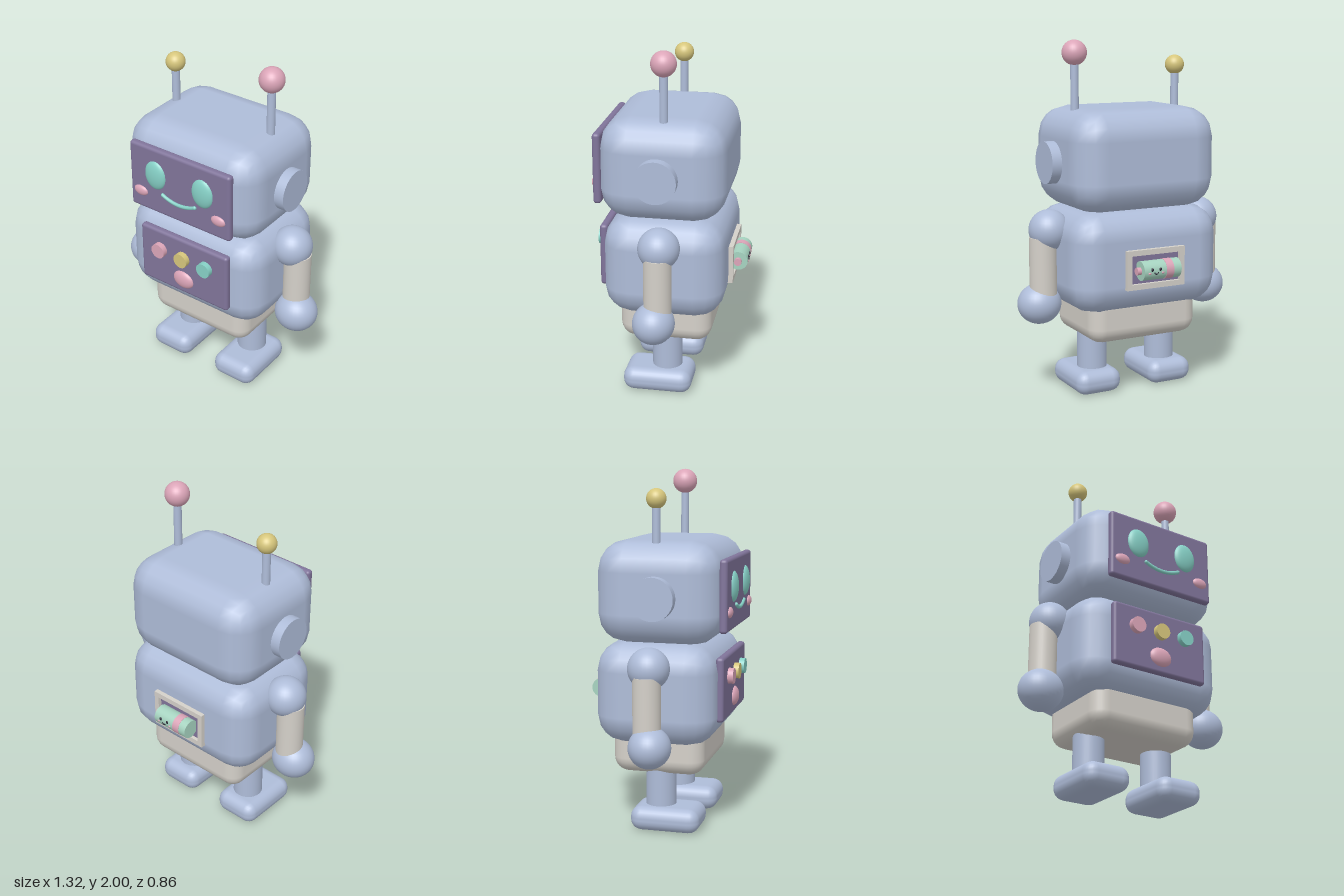
import * as THREE from 'three';
import { RoundedBoxGeometry } from 'three/addons/geometries/RoundedBoxGeometry.js';

const mat = (name, color) => {
  const m = new THREE.MeshStandardMaterial({ color });
  m.name = name;
  return m;
};

export function createModel() {
  const blue = mat('powder blue', 0xaebcd8);
  const cream = mat('cream', 0xd4d0c9);
  const purple = mat('dusky purple', 0x80749a);
  const teal = mat('teal', 0x86d0c6);
  const pink = mat('pink', 0xdba5b8);
  const yellow = mat('yellow', 0xd6c67c);
  const mint = mat('mint', 0xa6d3c0);
  const dark = mat('dark', 0x2f2d3a);

  const robot = new THREE.Group();
  robot.name = 'robot';

  const add = (name, geometry, material, x, y, z) => {
    const mesh = new THREE.Mesh(geometry, material);
    mesh.name = name;
    mesh.position.set(x, y, z);
    robot.add(mesh);
    return mesh;
  };
  const box = (name, m, w, h, d, r, x, y, z, seg = 3) =>
    add(name, new RoundedBoxGeometry(w, h, d, seg, r), m, x, y, z);
  const ball = (name, m, rx, ry, rz, x, y, z) =>
    add(name, new THREE.SphereGeometry(1, 32, 20).scale(rx, ry, rz), m, x, y, z);
  // Cylinder along the chosen axis
  const rod = (name, m, r, length, axis, x, y, z) => {
    const g = new THREE.CylinderGeometry(r, r, length, 32);
    if (axis === 'x') g.rotateZ(-Math.PI / 2);
    if (axis === 'z') g.rotateX(Math.PI / 2);
    return add(name, g, m, x, y, z);
  };

  // Main masses
  box('head', blue, 0.88, 0.57, 0.70, 0.17, 0, 1.345, 0.02, 2);
  box('body', blue, 0.91, 0.57, 0.68, 0.16, 0, 0.79, 0.01, 2);
  box('pelvis', cream, 0.67, 0.28, 0.52, 0.085, 0, 0.465, 0.01);

  // Face
  box('facePanel', purple, 0.67, 0.40, 0.045, 0.018, 0, 1.335, 0.382);
  for (const s of [-1, 1]) {
    ball('eye', teal, 0.07, 0.087, 0.03, s * 0.158, 1.375, 0.4);
    ball('cheek', pink, 0.047, 0.031, 0.02, s * 0.262, 1.245, 0.402);
  }
  const smile = new THREE.QuadraticBezierCurve3(
    new THREE.Vector3(-0.108, 1.27, 0), new THREE.Vector3(0, 1.218, 0), new THREE.Vector3(0.108, 1.27, 0));
  add('mouth', new THREE.TubeGeometry(smile, 24, 0.011, 8), teal, 0, 0, 0.407);
  for (const s of [-1, 1]) ball('mouthEnd', teal, 0.011, 0.011, 0.011, s * 0.108, 1.27, 0.407);

  // Chest controls
  box('chestPanel', purple, 0.60, 0.36, 0.045, 0.018, 0, 0.818, 0.358);
  [pink, yellow, teal].forEach((m, i) =>
    rod('chestButton', m, 0.044, 0.06, 'z', (i - 1) * 0.158, 0.877, 0.382));
  ball('chestKnob', pink, 0.07, 0.055, 0.03, 0, 0.732, 0.376);

  // Antennas, the left one taller
  rod('rightAntenna', blue, 0.023, 0.25, 'y', -0.317, 1.695, 0.01);
  ball('rightAntennaBall', yellow, 0.055, 0.055, 0.055, -0.317, 1.853, 0.01);
  rod('leftAntenna', blue, 0.023, 0.32, 'y', 0.317, 1.73, 0.01);
  ball('leftAntennaBall', pink, 0.07, 0.07, 0.07, 0.317, 1.93, 0.01);

  // Ears, arms and legs
  for (const s of [-1, 1]) {
    const side = s > 0 ? 'left' : 'right';
    rod(side + 'Ear', blue, 0.118, 0.12, 'x', s * 0.437, 1.33, 0.03);
    ball(side + 'Shoulder', blue, 0.115, 0.115, 0.115, s * 0.48, 0.957, 0.01);
    rod(side + 'Arm', cream, 0.077, 0.34, 'y', s * 0.519, 0.75, 0.01);
    ball(side + 'Hand', blue, 0.125, 0.115, 0.117, s * 0.536, 0.538, 0.03);
    rod(side + 'Leg', blue, 0.086, 0.27, 'y', s * 0.22, 0.225, 0.01);
    box(side + 'Foot', blue, 0.275, 0.138, 0.395, 0.062, s * 0.23, 0.07, 0.055);
  }

  // Battery bay on the back: hollow frame over a dark plate
  const rect = (path, w, h) => path.moveTo(-w, -h).lineTo(w, -h).lineTo(w, h).lineTo(-w, h).closePath();
  const frame = rect(new THREE.Shape(), 0.18, 0.11);
  frame.holes.push(rect(new THREE.Path(), 0.15, 0.08));
  add('batteryFrame', new THREE.ExtrudeGeometry(frame, { depth: 0.035, bevelEnabled: false }),
    cream, 0, 0.76, -0.356);
  add('batteryBay', new THREE.BoxGeometry(0.30, 0.16, 0.008), purple, 0, 0.76, -0.331);

  // Battery with a little face
  const by = 0.76, bz = -0.376;
  rod('battery', mint, 0.054, 0.23, 'x', -0.003, by, bz);
  rod('batteryBand', pink, 0.056, 0.046, 'x', -0.048, by, bz);
  rod('batteryTip', pink, 0.021, 0.03, 'x', 0.121, by, bz);
  const faceX = 0.04;
  for (const s of [-1, 1]) {
    ball('batteryEye', dark, 0.008, 0.01, 0.005, faceX + s * 0.025, by + 0.012, bz - 0.053);
    ball('batteryCheek', pink, 0.009, 0.006, 0.004, faceX + s * 0.041, by - 0.008, bz - 0.053);
  }
  add('batterySmile', new THREE.TorusGeometry(0.011, 0.003, 6, 12, Math.PI).rotateZ(Math.PI),
    dark, faceX, by - 0.003, bz - 0.054);

  return robot;
}
